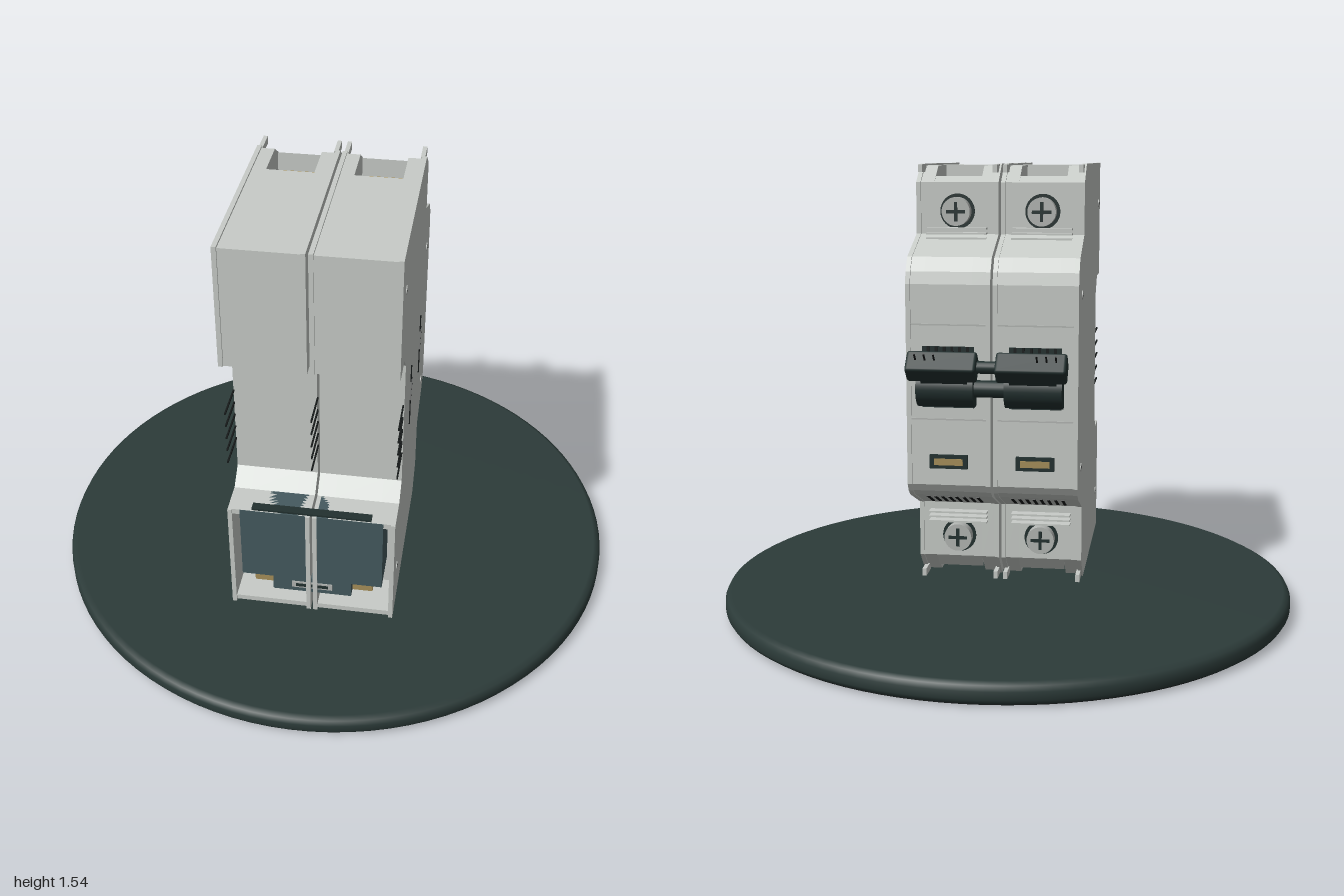
import * as THREE from 'three';
import { RoundedBoxGeometry } from 'three/addons/geometries/RoundedBoxGeometry.js';

const mat = (name, color, side = THREE.FrontSide) => {
  const m = new THREE.MeshStandardMaterial({ color, side });
  m.name = name;
  return m;
};

export function createModel() {
  const root = new THREE.Group();
  root.name = 'circuitBreakerOnStand';
  const shell = mat('light grey shell', 0xc8ccc8);
  const stand = mat('dark green stand', 0x2c3b39);
  const dark = mat('dark handle', 0x22302f);
  const teal = mat('slate clip', 0x455a5f);
  const brass = mat('brass', 0xa8905a);
  const steel = mat('steel', 0xb4b7b4);
  const black = mat('black marks', 0x161a1a);

  const add = (parent, name, geo, material, x = 0, y = 0, z = 0, rx = 0) => {
    const m = new THREE.Mesh(geo, material);
    m.name = name;
    m.position.set(x, y, z);
    m.rotation.x = rx;
    parent.add(m);
    return m;
  };
  const box = (parent, name, material, w, h, d, x, y, z, rx = 0) =>
    add(parent, name, new THREE.BoxGeometry(w, h, d), material, x, y, z, rx);
  const barX = (r, len, seg = 24) => new THREE.CylinderGeometry(r, r, len, seg).rotateZ(Math.PI / 2);
  const barZ = (r, len, seg = 24) => new THREE.CylinderGeometry(r, r, len, seg).rotateX(Math.PI / 2);

  // Side profile in (z, y), swept across x
  const sweep = (pts, x0, x1) => {
    const shape = new THREE.Shape(pts.map(([z, y]) => new THREE.Vector2(z, y)));
    return new THREE.ExtrudeGeometry(shape, { depth: x1 - x0, bevelEnabled: false })
      .rotateY(-Math.PI / 2).translate(x1, 0, 0);
  };
  const rear = [[0.38, 0.59], [0.38, 1.06], [0.44, 1.12], [0.555, 1.12], [0.555, 1.54]];
  const face = [[-0.2, 1.48], [-0.2, 1.31], [-0.355, 1.245], [-0.385, 1.2], [-0.395, 1.16],
    [-0.395, 0.5], [-0.38, 0.475], [-0.355, 0.455], [-0.2, 0.39], [-0.2, 0.2]];
  const wall = [[0.555, 0.12], [0.555, 0.54], [0.44, 0.54], ...rear, [-0.12, 1.54], ...face, [-0.12, 0.12]];
  const topPocket = [[0.035, 1.54], [0.035, 1.36], [-0.165, 1.36], [-0.165, 1.506]];
  const lowPocket = [[-0.165, 0.154], [-0.165, 0.3], [0.035, 0.3], [0.035, 0.12]];
  const core = (pocket) => [
    [0.555, 0.12], [0.555, 0.145], [0.4, 0.145], [0.4, 0.52], [0.555, 0.52], [0.555, 0.54], [0.44, 0.54], ...rear,
    ...(pocket ? topPocket : [[-0.12, 1.54]]), ...face, ...(pocket ? lowPocket : [[-0.12, 0.12]]),
  ].map(([z, y]) => [
    // the core sits slightly inside the side walls
    z > 0.5 ? z - 0.006 : z < -0.1 ? z + 0.006 : z, y > 1.5 ? y - 0.006 : y < 0.13 ? y + 0.006 : y]);

  // Stand
  const rim = [[0, 0.003], [0.975, 0.003], [0.992, 0.012], [1, 0.025], [1, 0.05], [0.992, 0.066], [0.975, 0.075], [0, 0.075]];
  add(root, 'standDisc', new THREE.LatheGeometry(rim.map(p => new THREE.Vector2(...p)), 96), stand);
  add(root, 'standFoot', new THREE.CylinderGeometry(0.975, 0.975, 0.008, 96), black, 0, 0.004, 0);

  // Two identical poles
  for (const s of [-1, 1]) {
    const pole = new THREE.Group();
    pole.name = s < 0 ? 'rightPole' : 'leftPole';
    pole.position.x = s * 0.142;
    root.add(pole);
    for (const [a, b] of [[-0.138, -0.123], [0.123, 0.138]]) add(pole, 'sideWall', sweep(wall, a, b), shell);
    for (const [a, b, open] of [[-0.123, -0.078, false], [-0.078, 0.078, true], [0.078, 0.123, false]])
      add(pole, open ? 'terminalCore' : 'core', sweep(core(open), a, b), shell);

    // Terminals, above and below
    for (const e of [1, -1]) {
      const Y = (d) => 0.83 + e * d;
      box(pole, 'pocketLining', dark, 0.154, 0.008, 0.198, 0, Y(e > 0 ? 0.536 : 0.537), -0.065);
      for (const x of [-1, 1]) {
        box(pole, 'clampSide', brass, 0.012, 0.07, 0.13, x * 0.052, Y(0.575), -0.08);
        box(pole, 'coverTab', shell, 0.014, 0.026, 0.08, x * 0.125, Y(0.695), -0.158);
      }
      box(pole, 'clampFront', brass, 0.116, 0.07, 0.012, 0, Y(0.575), -0.145);
      box(pole, 'clampRear', brass, 0.116, 0.07, 0.012, 0, Y(0.575), -0.015);
      box(pole, 'contactTongue', brass, 0.07, 0.02, 0.055, 0, Y(0.555), 0.008);
      add(pole, 'clampScrew', barZ(0.022, 0.12), steel, 0, Y(0.57), -0.08);
      for (let i = 0; i < 5; i++)
        add(pole, 'screwThread', new THREE.TorusGeometry(0.024, 0.005, 6, 20), steel, 0, Y(0.57), -0.125 + i * 0.022);

      // Screw heads on the operating side
      add(pole, 'screwHole', barZ(0.058, 0.004, 32), dark, 0, Y(0.555), -0.195);
      add(pole, 'screwHead', barZ(0.047, 0.036, 32), steel, 0, Y(0.555), -0.215);
      box(pole, 'screwSlot', dark, 0.064, 0.011, 0.003, 0, Y(0.555), -0.2335);
      box(pole, 'screwSlot', dark, 0.011, 0.064, 0.003, 0, Y(0.555), -0.2335);
      for (let i = 0; i < 3; i++)
        box(pole, 'terminalFin', shell, 0.2, 0.006, 0.035, 0, Y(0.467 + i * 0.016), -0.215);
    }

    // Cooling slits on the lower slope
    for (let i = 0; i < 8; i++)
      box(pole, 'coolingSlit', black, 0.009, 0.005, 0.11, -0.084 + i * 0.024, 0.424, -0.276, 0.4);

    // Operating face: handle slot, indicator, panel lines
    box(pole, 'handleSlot', dark, 0.17, 0.2, 0.008, 0, 0.86, -0.39);
    for (let i = 0; i < 6; i++)
      box(pole, 'slotRib', black, 0.009, 0.05, 0.006, -0.065 + i * 0.026, 0.935, -0.395);
    box(pole, 'indicatorFrame', dark, 0.125, 0.045, 0.012, 0, 0.58, -0.395);
    box(pole, 'indicatorWindow', brass, 0.095, 0.022, 0.004, 0, 0.58, -0.401);
    for (const y of [0.72, 1.03]) box(pole, 'panelLine', steel, 0.246, 0.005, 0.004, 0, y, -0.39);

    // Toggle handle
    add(pole, 'handlePivot', barX(0.062, 0.185, 32), dark, 0, 0.83, -0.412);
    box(pole, 'handleArm', dark, 0.15, 0.04, 0.1, 0, 0.872, -0.462, Math.PI / 4);
    add(pole, 'handleGrip', new RoundedBoxGeometry(0.225, 0.078, 0.068, 2, 0.01), dark, 0, 0.912, -0.502, Math.PI / 4);
    for (let i = 0; i < 3; i++)
      box(pole, 'gripGroove', black, 0.005, 0.004, 0.05, s * (0.02 + i * 0.03), 0.9402, -0.5302, Math.PI / 4);
  }
  add(root, 'handleLink', barX(0.02, 0.12, 16), dark, 0, 0.912, -0.502);
  add(root, 'pivotLink', barX(0.028, 0.12, 16), dark, 0, 0.83, -0.425);

  // Rail clip in the rear foot
  for (const s of [-1, 1]) {
    box(root, 'railClip', teal, 0.222, 0.285, 0.15, s * 0.129, 0.3975, 0.475);
    box(root, 'clipSpring', brass, 0.07, 0.06, 0.1, s * 0.17, 0.222, 0.46);
  }
  box(root, 'clipSlider', teal, 0.27, 0.062, 0.13, 0, 0.222, 0.478);
  box(root, 'sliderSlot', steel, 0.14, 0.026, 0.006, 0, 0.222, 0.543);
  box(root, 'sliderSlotInset', dark, 0.11, 0.012, 0.004, 0, 0.222, 0.546);
  box(root, 'clipLip', dark, 0.4, 0.008, 0.03, 0, 0.543, 0.53);

  // Fine contact wires behind the rail notch
  for (const x of [-0.277, 0, 0.277])
    for (let i = 0; i < 5; i++) box(root, 'railWire', black, 0.005, 0.006, 0.13, x, 0.715 + i * 0.049, 0.455);

  // Rivets on both outer sides
  for (const s of [-1, 1])
    for (const [z, y] of [[0.46, 1.39], [0.46, 0.28], [-0.27, 1.12], [-0.27, 0.545]]) {
      add(root, 'rivet', barX(0.014, 0.006, 16), steel, s * 0.28, y, z);
      add(root, 'rivetCentre', barX(0.005, 0.008, 10), black, s * 0.28, y, z);
    }

  // Switch marks on the left side
  for (const z of [0.18, -0.128]) {
    box(root, 'switchMark', black, 0.005, 0.065, 0.007, 0.281, 0.89, z);
    box(root, 'switchMark', black, 0.005, 0.1, 0.007, 0.281, 0.73, z);
    box(root, 'switchMark', black, 0.005, 0.085, 0.007, 0.281, 0.812, z - 0.024, -0.61);
  }
  return root;
}
